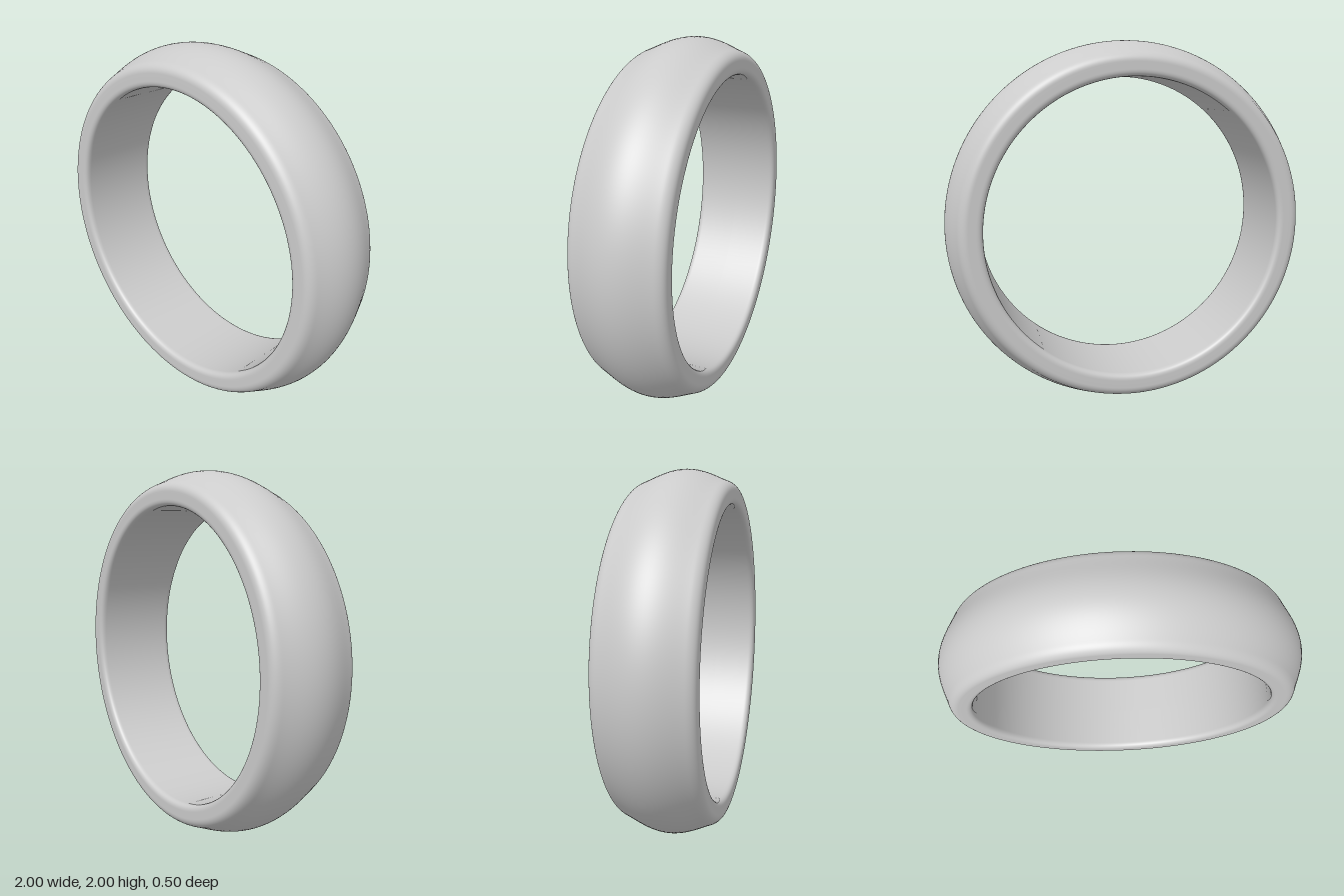
import * as THREE from 'three';

export function createModel() {
  const group = new THREE.Group();
  const material = new THREE.MeshStandardMaterial({ color: 0xcccccc });

  // Band cross-section (radius, width): flat bore, rounded rims, domed outside.
  // It starts and ends in the middle of the bore so the seam stays smooth.
  const inner = 0.81, half = 0.25;
  const section = new THREE.Path();
  section.moveTo(inner, 0);
  section.lineTo(inner, -0.215);
  section.quadraticCurveTo(inner, -half, inner + 0.035, -half);
  section.lineTo(0.885, -half);
  section.quadraticCurveTo(0.925, -half, 0.942, -0.2);
  section.bezierCurveTo(0.965, -0.14, 1, -0.08, 1, 0);
  section.bezierCurveTo(1, 0.08, 0.965, 0.14, 0.942, 0.2);
  section.quadraticCurveTo(0.925, half, 0.885, half);
  section.lineTo(inner + 0.035, half);
  section.quadraticCurveTo(inner, half, inner, 0.215);
  section.lineTo(inner, 0);

  // Ring band, turned so its axis runs front to back
  const geometry = new THREE.LatheGeometry(section.getPoints(12), 160);
  geometry.rotateX(Math.PI / 2);
  const band = new THREE.Mesh(geometry, material);
  band.name = 'ringBand';
  band.position.y = 1;
  group.add(band);

  return group;
}
